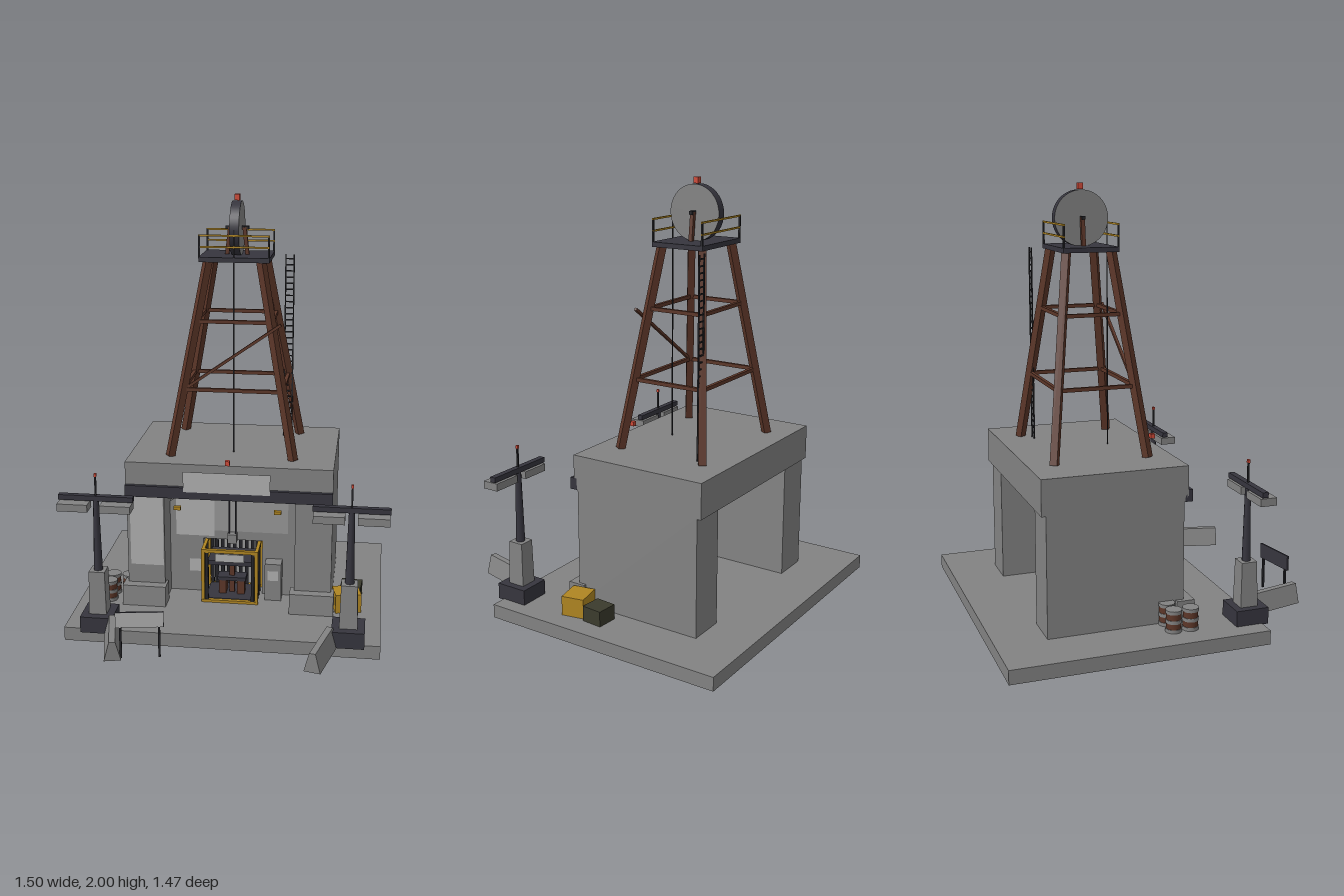
import * as THREE from 'three';

const mat = (name, color, side = THREE.FrontSide) => {
  const m = new THREE.MeshStandardMaterial({ color, side });
  m.name = name;
  return m;
};

export function createModel() {
  const concrete = mat('concrete', 0x838383, THREE.DoubleSide);
  const light = mat('light concrete', 0x979797);
  const pale = mat('pale panel', 0xb0b0b0);
  const dark = mat('dark steel', 0x36353e);
  const black = mat('black iron', 0x242428);
  const rust = mat('rusty brown', 0x5c3628);
  const gold = mat('safety yellow', 0xb08622);
  const red = mat('signal red', 0xcf4a38);
  const olive = mat('olive', 0x3b3b2d);

  const model = new THREE.Group();
  const add = (name, geo, m, parent = model) => {
    const mesh = new THREE.Mesh(geo, m);
    mesh.name = name;
    parent.add(mesh);
    return mesh;
  };
  const group = (name, x = 0, y = 0, z = 0, ry = 0) => {
    const g = new THREE.Group();
    g.name = name;
    g.position.set(x, y, z);
    g.rotation.y = ry;
    model.add(g);
    return g;
  };
  // Box given by its lower and upper limits on each axis
  const box = (name, m, x0, x1, y0, y1, z0, z1, parent = model) => {
    const mesh = add(name, new THREE.BoxGeometry(x1 - x0, y1 - y0, z1 - z0), m, parent);
    mesh.position.set((x0 + x1) / 2, (y0 + y1) / 2, (z0 + z1) / 2);
    return mesh;
  };
  // Flat painted panel facing the front
  const panel = (name, m, x0, x1, y0, y1, z, parent) => {
    const mesh = add(name, new THREE.PlaneGeometry(x1 - x0, y1 - y0), m, parent);
    mesh.position.set((x0 + x1) / 2, (y0 + y1) / 2, z);
  };
  // Square bar between two points, in the space of its parent
  const up = new THREE.Vector3(0, 1, 0);
  const bar = (name, m, a, b, t, parent) => {
    const p = new THREE.Vector3(...a), q = new THREE.Vector3(...b);
    const mesh = add(name, new THREE.BoxGeometry(t, t, p.distanceTo(q)), m, parent);
    mesh.quaternion.setFromRotationMatrix(new THREE.Matrix4().lookAt(q, p, up));
    mesh.position.copy(p).add(q).multiplyScalar(0.5);
  };
  // Prism with a trapezoid section running along z
  const wedge = (name, m, bottom, top, height, length, parent) => {
    const s = new THREE.Shape([[-bottom, 0], [bottom, 0], [top, height], [-top, height]]
      .map(([x, y]) => new THREE.Vector2(x, y)));
    const geo = new THREE.ExtrudeGeometry(s, { depth: length, bevelEnabled: false });
    geo.translate(0, 0, -length / 2);
    return add(name, geo, m, parent);
  };
  const Y = 0.065; // top of the slab

  // Slab, a tray open underneath (the bottom face is dropped)
  const slab = box('baseSlab', concrete, -0.738, 0.72, 0, Y, -0.733, 0.455);
  const faces = Array.from(slab.geometry.index.array);
  faces.splice(18, 6);
  slab.geometry.setIndex(faces);

  // Open winding house
  const house = group('house');
  box('rightWall', concrete, -0.5, -0.32, Y, 0.63, -0.5, 0.135, house);
  box('leftWall', concrete, 0.305, 0.48, Y, 0.63, -0.5, 0.135, house);
  box('roof', concrete, -0.5, 0.48, 0.62, 0.785, -0.52, 0.155, house);
  box('lintel', dark, -0.5, 0.48, 0.62, 0.675, 0.14, 0.175, house);
  panel('signPanel', pale, -0.22, 0.19, 0.655, 0.755, 0.177, house);
  panel('wallPanel', pale, -0.485, -0.325, 0.26, 0.62, 0.138, house);
  for (const x of [-0.415, 0.39]) {
    const plinth = wedge('plinth', concrete, 0.048, 0.042, 0.1, 0.21, house);
    plinth.position.set(x, Y, 0.14);
    plinth.rotation.y = Math.PI / 2;
  }
  for (const x of [-0.25, 0.225]) box('entryLamp', gold, x - 0.017, x + 0.017, 0.562, 0.578, 0.155, 0.175, house);
  box('roofBeacon', red, -0.021, 0.001, 0.794, 0.816, 0.16, 0.182, house);

  // Inner portal wall with a doorway round the cage
  const portal = new THREE.Shape([[-0.32, Y], [-0.155, Y], [-0.155, 0.345], [0.135, 0.345], [0.135, Y],
    [0.31, Y], [0.31, 0.53], [0.285, 0.55], [-0.295, 0.55], [-0.32, 0.53]]
    .map(([x, y]) => new THREE.Vector2(x, y)));
  const portalGeo = new THREE.ExtrudeGeometry(portal, { depth: 0.04, bevelEnabled: false });
  add('portalWall', portalGeo, concrete, house).position.z = -0.06;
  panel('portalPanel', pale, -0.29, -0.1, 0.36, 0.55, -0.017, house);
  panel('portalPanelWide', light, -0.1, 0.26, 0.39, 0.55, -0.017, house);
  panel('portalPatch', pale, -0.225, -0.16, 0.17, 0.235, -0.017, house);
  box('cabinet', concrete, 0.155, 0.235, Y, 0.255, -0.02, 0.05, house);
  panel('cabinetPanel', pale, 0.17, 0.22, 0.17, 0.22, 0.053, house);

  // Lift cage
  const cage = group('liftCage', -0.01, 0, 0);
  for (const z of [-0.1, 0.1]) {
    for (const x of [-0.13, 0.13]) {
      box('cagePost', gold, x - 0.008, x + 0.008, Y, 0.34, z - 0.008, z + 0.008, cage);
      box('innerPost', black, x * 0.86 - 0.008, x * 0.86 + 0.008, Y, 0.325, z - 0.006, z + 0.006, cage);
    }
    box('cageBeam', gold, -0.138, 0.138, 0.324, 0.34, z - 0.009, z + 0.009, cage);
    box('cageSill', gold, -0.138, 0.138, Y, 0.078, z - 0.009, z + 0.009, cage);
  }
  for (const x of [-0.13, 0.13]) {
    box('cageSideBeam', gold, x - 0.008, x + 0.008, 0.324, 0.338, -0.1, 0.1, cage);
    for (const z of [-0.05, 0, 0.05]) box('sideBar', black, x - 0.004, x + 0.004, Y, 0.325, z - 0.004, z + 0.004, cage);
  }
  for (let i = -3; i <= 3; i++) {
    box('backBar', gold, i * 0.03 - 0.005, i * 0.03 + 0.005, Y, 0.325, -0.104, -0.096, cage);
    box('backBarLining', black, i * 0.03 - 0.009, i * 0.03 + 0.009, Y, 0.325, -0.095, -0.091, cage);
  }
  box('backRail', black, -0.125, 0.125, 0.19, 0.205, -0.09, -0.08, cage);
  box('cageRoof', dark, -0.11, 0.11, 0.252, 0.275, -0.085, 0.085, cage);
  box('cageBoard', pale, -0.07, 0.07, 0.278, 0.318, 0.098, 0.105, cage);
  box('cageFloor', dark, -0.12, 0.12, Y, 0.08, -0.09, 0.09, cage);
  for (const x of [-0.045, 0.045]) box('rustyLoad', rust, x - 0.018, x + 0.018, 0.08, 0.15, -0.03, 0.03, cage);
  box('loadPole', rust, -0.012, 0.012, 0.08, 0.255, -0.01, 0.01, cage);
  box('loadTop', dark, -0.07, 0.07, 0.15, 0.168, -0.035, 0.035, cage);
  box('hitch', concrete, -0.022, 0.022, 0.34, 0.385, -0.02, 0.02, cage);
  for (const x of [-0.016, 0.016]) box('guideRod', dark, x - 0.003, x + 0.003, 0.38, 0.63, -0.003, 0.003, cage);

  // Headframe tower
  const tower = group('headframe', -0.01, 0, -0.184);
  const half = (y) => {
    const t = (y - 0.785) / (1.7 - 0.785);
    return [0.293 - 0.168 * t, 0.219 - 0.114 * t];
  };
  for (const sx of [-1, 1]) for (const sz of [-1, 1]) {
    const [bx, bz] = half(0.785), [tx, tz] = half(1.705);
    bar('towerLeg', rust, [sx * bx, 0.785, sz * bz], [sx * tx, 1.705, sz * tz], 0.034, tower);
  }
  for (const y of [1.105, 1.425]) {
    const [x, z] = half(y);
    for (const s of [-1, 1]) {
      bar('crossGirt', rust, [-x, y, s * z], [x, y, s * z], 0.017, tower);
      bar('sideGirt', rust, [s * x, y, -z], [s * x, y, z], 0.017, tower);
    }
  }
  bar('diagonalBrace', rust, [-0.215, 1.115, 0.178], [0.225, 1.425, 0.178], 0.013, tower);
  box('platform', dark, -0.165, 0.165, 1.7, 1.722, -0.13, 0.13, tower);
  for (const z of [-0.126, 0.126]) {
    for (const y of [1.77, 1.822]) box('handrail', gold, -0.165, 0.165, y - 0.004, y + 0.004, z - 0.004, z + 0.004, tower);
    for (const x of [-0.161, 0.161]) box('railPost', black, x - 0.004, x + 0.004, 1.722, 1.822, z - 0.004, z + 0.004, tower);
  }

  // Winding wheel on its bearing legs
  const wheel = add('windingWheel', new THREE.CylinderGeometry(0.126, 0.126, 0.044, 40), [dark, concrete, concrete], tower);
  wheel.rotation.z = Math.PI / 2;
  wheel.position.y = 1.844;
  for (const s of [-1, 1]) bar('bearingLeg', rust, [s * 0.048, 1.72, 0], [s * 0.034, 1.848, 0], 0.018, tower);
  box('axle', black, -0.055, 0.055, 1.838, 1.854, -0.008, 0.008, tower);
  box('topBeacon', red, -0.012, 0.012, 1.972, 2, -0.012, 0.012, tower);
  box('hoistCable', black, -0.003, 0.003, 0.785, 1.85, 0.126, 0.13, tower);

  // Ladder
  const ladder = group('ladder', 0.225, 0, -0.355);
  for (const x of [-0.02, 0.02]) box('ladderRail', black, x - 0.003, x + 0.003, 0.785, 1.7, -0.003, 0.003, ladder);
  for (let i = 0; i < 30; i++) {
    const y = 0.81 + i * 0.03;
    box('rung', black, -0.02, 0.02, y - 0.003, y + 0.003, -0.003, 0.003, ladder);
  }

  // Floodlight masts
  const pedestalGeo = new THREE.CylinderGeometry(0.052, 0.058, 0.21, 4).rotateY(Math.PI / 4).toNonIndexed();
  pedestalGeo.computeVertexNormals();
  for (const x of [-0.578, 0.573]) {
    const mast = group('lightMast', x, 0, 0.405);
    box('mastFoot', dark, -0.075, 0.075, 0.06, 0.137, -0.075, 0.08, mast);
    add('pedestal', pedestalGeo, concrete, mast).position.y = 0.24;
    add('pole', new THREE.CylinderGeometry(0.013, 0.021, 0.35, 8), dark, mast).position.y = 0.52;
    box('crossArm', dark, -0.172, 0.172, 0.683, 0.707, -0.014, 0.014, mast);
    for (const s of [-1, 1]) box('lampHead', concrete, s * 0.098 - 0.07, s * 0.098 + 0.07, 0.643, 0.678, -0.02, 0.057, mast);
    box('aerial', black, -0.004, 0.004, 0.705, 0.798, -0.004, 0.004, mast);
    box('mastBeacon', red, -0.006, 0.006, 0.796, 0.81, -0.006, 0.006, mast);
  }

  // Road barriers
  for (const [x, z, turn] of [[-0.475, 0.595, 0.23], [0.46, 0.585, -0.24]]) {
    const barrier = wedge('barrier', concrete, 0.038, 0.014, 0.09, 0.265);
    barrier.position.set(x, 0.058, z);
    barrier.rotation.y = turn;
  }

  // Notice board on two posts
  const notice = group('noticeBoard', -0.33, 0, 0.678, 0.16);
  panel('boardFace', pale, -0.106, 0.106, 0.207, 0.278, 0.006, notice);
  box('boardBack', dark, -0.106, 0.106, 0.207, 0.278, -0.005, 0.004, notice);
  for (const x of [-0.085, 0.085]) box('boardPost', black, x - 0.005, x + 0.005, 0.06, 0.21, -0.006, 0.004, notice);

  // Steel drums
  for (const [x, z] of [[-0.595, 0.05], [-0.595, 0.13], [-0.513, 0.05]]) {
    const drum = group('drum', x, Y, z);
    add('drumBody', new THREE.CylinderGeometry(0.034, 0.034, 0.1, 20), rust, drum).position.y = 0.05;
    for (const y of [0.008, 0.05, 0.094]) {
      add('drumBand', new THREE.CylinderGeometry(0.037, 0.037, 0.016, 20), concrete, drum).position.y = y;
    }
  }

  // Crates
  const crate = group('yellowCrate', 0.555, Y, 0.085, 0.2);
  box('crateBody', gold, -0.062, 0.062, 0, 0.092, -0.054, 0.054, crate);
  panel('crateLabel', pale, -0.035, 0.035, 0.025, 0.065, 0.057, crate);
  const chest = group('oliveChest', 0.573, Y, -0.043, -0.08);
  box('chestBody', olive, -0.05, 0.05, 0, 0.072, -0.05, 0.05, chest);

  return model;
}
